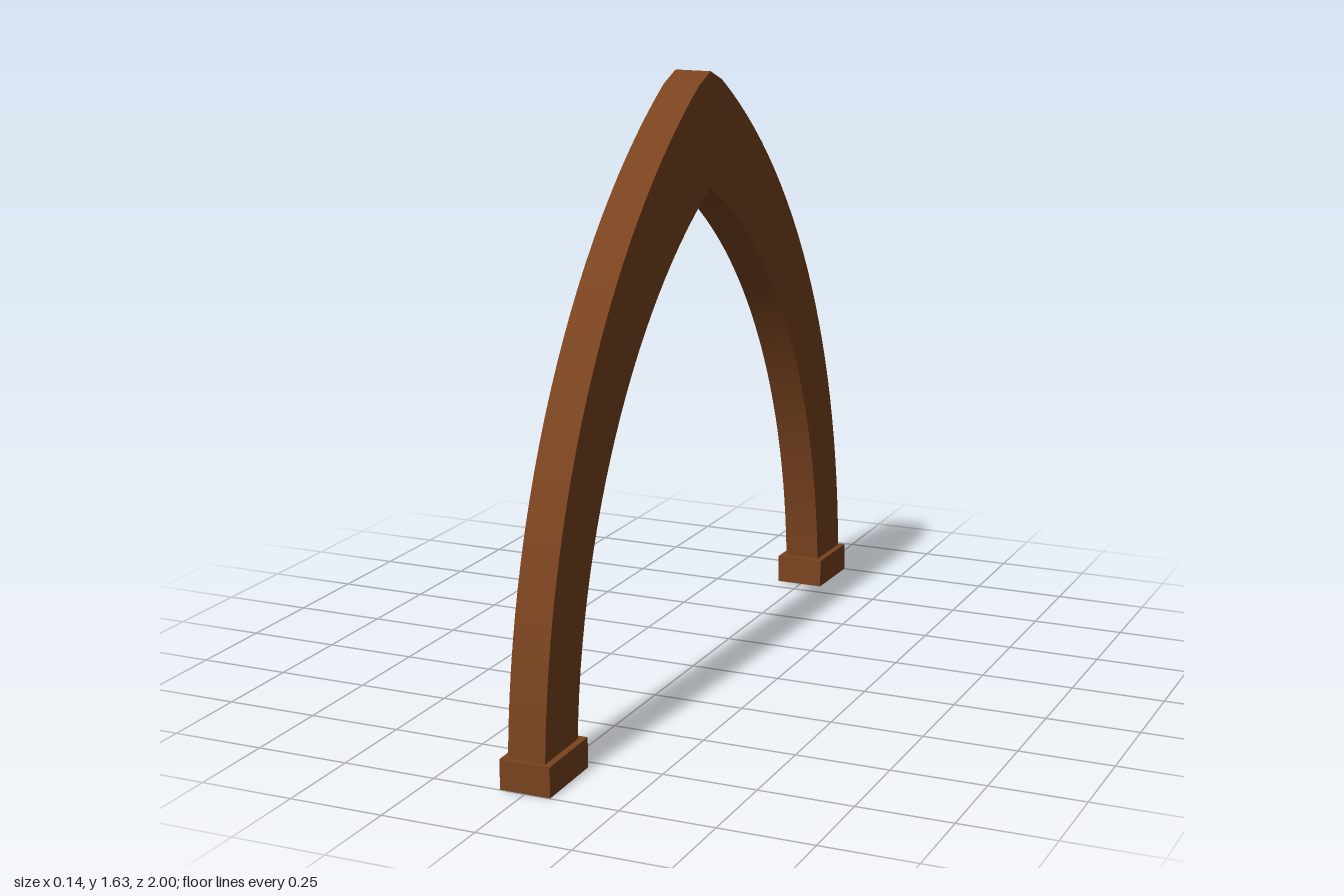
import * as THREE from 'three';
import { toCreasedNormals } from 'three/addons/utils/BufferGeometryUtils.js';

const DEPTH = 0.1;
const BASE = 0.03;

// Points along a circular arc centred at (-c, 0), from height BASE up to width position u
function arcPoints(c, r, u, steps) {
  const a0 = Math.asin(BASE / r);
  const a1 = Math.acos((u + c) / r);
  return Array.from({ length: steps + 1 }, (_, i) => {
    const a = a0 + (a1 - a0) * i / steps;
    return new THREE.Vector2(r * Math.cos(a) - c, r * Math.sin(a));
  });
}

const mirrored = (pts) => pts.map((p) => new THREE.Vector2(-p.x, p.y)).reverse();

export function createModel() {
  const model = new THREE.Group();
  model.name = 'pointedArch';
  const wood = new THREE.MeshStandardMaterial({ color: 0x7a431f });

  // Pointed arch: outer and inner arcs, thicker toward the blunted apex
  const outer = arcPoints(0.875, 1.865, 0.075, 28);
  const inner = arcPoints(0.678, 1.493, 0, 28);
  const outline = [
    ...outer,
    new THREE.Vector2(0, 1.634),
    ...mirrored(outer),
    ...mirrored(inner).reverse(),
    ...inner.slice(0, -1).reverse(),
  ];
  const archGeometry = new THREE.ExtrudeGeometry(new THREE.Shape(outline), {
    depth: DEPTH,
    bevelEnabled: false,
  });
  archGeometry.translate(0, 0, -DEPTH / 2);
  archGeometry.rotateY(-Math.PI / 2);
  const arch = new THREE.Mesh(toCreasedNormals(archGeometry, 0.12), wood);
  arch.name = 'arch';
  model.add(arch);

  // Foot blocks, tilted very slightly with the legs
  const footGeometry = new THREE.BoxGeometry(0.135, 0.079, 0.207);
  for (const side of [1, -1]) {
    const foot = new THREE.Mesh(footGeometry, wood);
    foot.name = side > 0 ? 'frontFoot' : 'backFoot';
    foot.position.set(0, 0.042, side * 0.896);
    foot.rotation.x = side * 0.02;
    model.add(foot);
  }
  return model;
}
